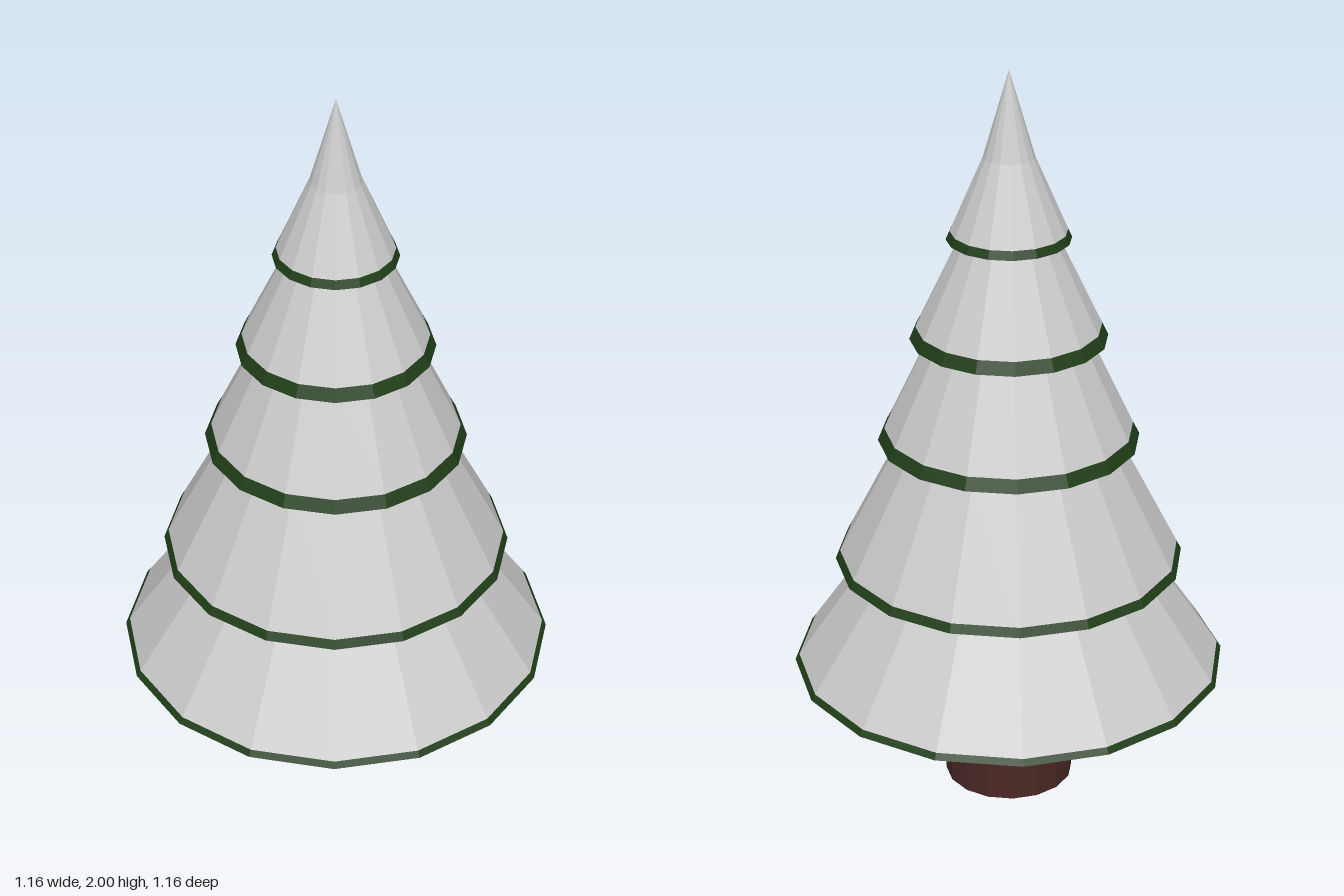
import * as THREE from 'three';

const SIDES = 16;

export function createModel() {
  const tree = new THREE.Group();
  tree.name = 'snowyTree';

  const snow = new THREE.MeshStandardMaterial({ color: 0xcccccc, flatShading: true });
  const needles = new THREE.MeshStandardMaterial({ color: 0x1f3d18, flatShading: true });
  const bark = new THREE.MeshStandardMaterial({ color: 0x4a2826, flatShading: true });

  // Faceted solid of revolution from [radius, height] pairs, bottom to top
  const addLathe = (name, profile, material) => {
    const points = profile.map(([r, y]) => new THREE.Vector2(r, y));
    const mesh = new THREE.Mesh(new THREE.LatheGeometry(points, SIDES), material);
    mesh.name = name;
    tree.add(mesh);
  };

  // Trunk
  const trunk = new THREE.Mesh(new THREE.CylinderGeometry(0.173, 0.173, 0.36, SIDES), bark);
  trunk.name = 'trunk';
  trunk.position.y = 0.18;
  tree.add(trunk);

  // Tiers: inner radius of the underside, outer edge, top of the green rim, snow above it
  const tiers = [
    { inner: 0, edge: [0.578, 0.357], rim: [0.567, 0.373], top: [[0.37, 0.662]] },
    { inner: 0.37, edge: [0.461, 0.662], rim: [0.449, 0.685], top: [[0.284, 1.006]] },
    { inner: 0.284, edge: [0.342, 1.006], rim: [0.325, 1.039], top: [[0.207, 1.289]] },
    { inner: 0.207, edge: [0.256, 1.289], rim: [0.24, 1.322], top: [[0.127, 1.559]] },
    { inner: 0.127, edge: [0.16, 1.559], rim: [0.15, 1.581], top: [[0.066, 1.775], [0, 2]] },
  ];
  tiers.forEach(({ inner, edge, rim, top }, i) => {
    addLathe(`needleRim${i + 1}`, [[inner, edge[1]], edge, rim], needles);
    addLathe(`snowTier${i + 1}`, [rim, ...top], snow);
  });

  return tree;
}
